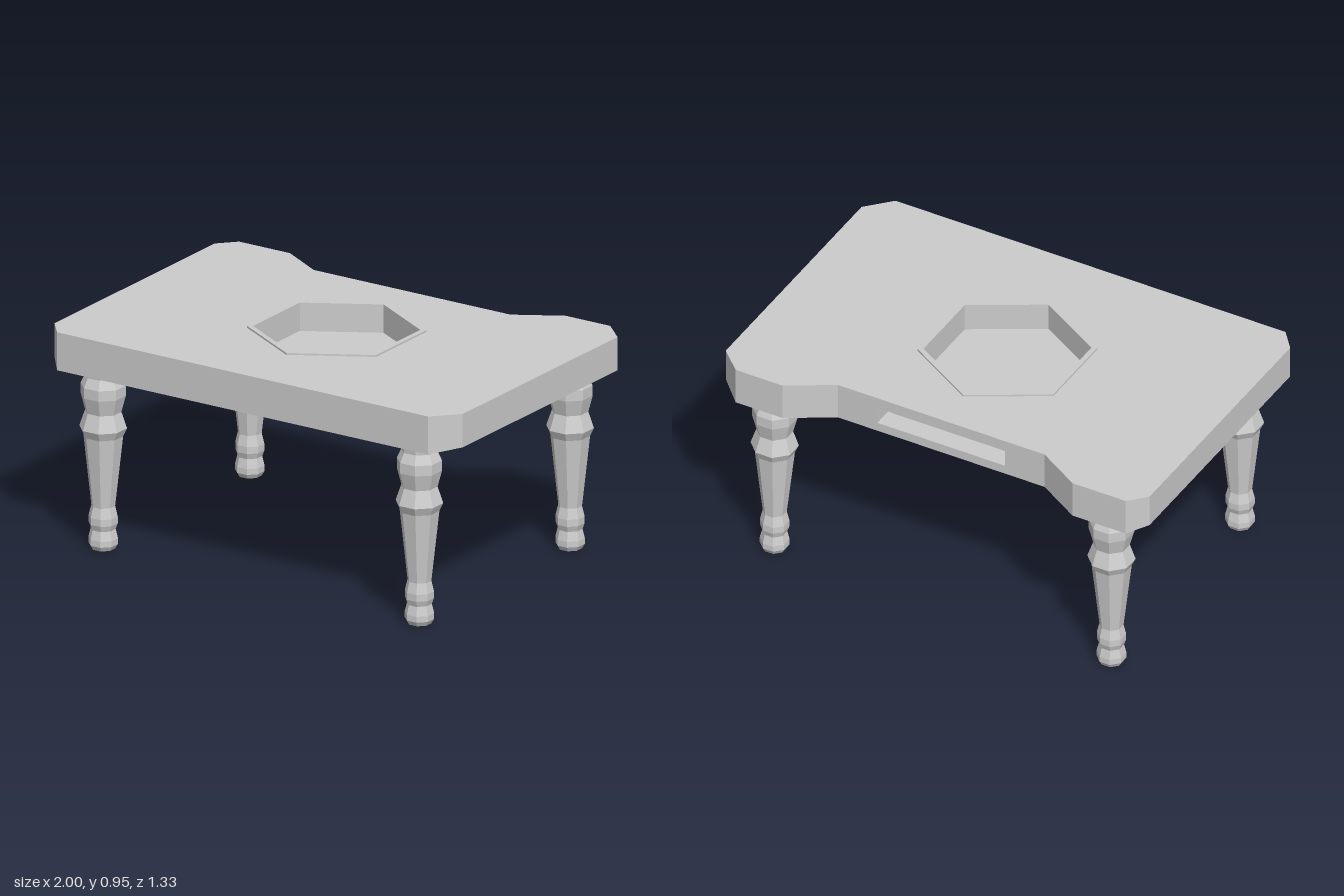
import * as THREE from 'three';

const TOP = 0.945, BOTTOM = 0.78, SIDE_BOTTOM = 0.8, RIM = 0.953, FLOOR = 0.83;

// Flat-shaded mesh from a list of quads, corners counter-clockwise
function quadMesh(name, quads, material) {
  const pos = [];
  for (const [a, b, c, d] of quads) for (const p of [a, b, c, a, c, d]) pos.push(...p);
  const geo = new THREE.BufferGeometry();
  geo.setAttribute('position', new THREE.Float32BufferAttribute(pos, 3));
  geo.computeVertexNormals();
  const mesh = new THREE.Mesh(geo, material);
  mesh.name = name;
  return mesh;
}

const shapeOf = (pts) => new THREE.Shape(pts.map(([x, y]) => new THREE.Vector2(x, y)));

// Hexagon in x, z with points toward the front and back
const hexagon = (r) => Array.from({ length: 6 }, (_, i) => {
  const a = (i * Math.PI) / 3;
  return [r * Math.sin(a), r * Math.cos(a)];
});

export function createModel() {
  const group = new THREE.Group();
  const grey = new THREE.MeshStandardMaterial({ color: 0xcccccc, side: THREE.DoubleSide, flatShading: true });
  grey.name = 'light grey';
  const add = (name, geo) => {
    const mesh = new THREE.Mesh(geo, grey);
    mesh.name = name;
    group.add(mesh);
    return mesh;
  };

  // Table outline in x, z, with a cut-out along the back
  const outline = [
    [-0.93, -0.665], [-0.68, -0.665], [-0.485, -0.55], [0.485, -0.55], [0.68, -0.665], [0.9, -0.665],
    [1, -0.57], [1, 0.56], [0.9, 0.665], [-0.93, 0.665], [-1, 0.58], [-1, -0.59],
  ];
  const isSide = (x) => Math.abs(x) > 0.95;
  const low = ([x, z]) => [x, isSide(x) ? SIDE_BOTTOM : BOTTOM, z];
  const at = ([x, z], y) => [x, y, z];

  // Table top with the hexagonal opening
  const inner = hexagon(0.343), outer = hexagon(0.368);
  const topShape = shapeOf(outline.map(([x, z]) => [x, -z]));
  topShape.holes.push(shapeOf(inner.map(([x, z]) => [x, -z])));
  add('tableTop', new THREE.ShapeGeometry(topShape).rotateX(-Math.PI / 2).translate(0, TOP, 0));

  // Edge walls, leaving out the slotted back panel
  const walls = [];
  outline.forEach((a, i) => {
    const b = outline[(i + 1) % outline.length];
    if (i !== 2) walls.push([at(a, TOP), at(b, TOP), low(b), low(a)]);
  });
  group.add(quadMesh('tableEdge', walls, grey));

  // Underside: flat middle and a raised slope at each end
  const flat = outline.filter(([x]) => !isSide(x));
  add('underside', new THREE.ShapeGeometry(shapeOf(flat)).rotateX(Math.PI / 2).translate(0, BOTTOM, 0));
  group.add(quadMesh('undersideSlopes', [
    [5, 6, 7, 8].map((i) => low(outline[i])),
    [9, 10, 11, 0].map((i) => low(outline[i])),
  ], grey));

  // Back panel with a slot
  const slot = [[-0.3, 0.82], [0.3, 0.82], [0.3, 0.895], [-0.3, 0.895]];
  const panel = shapeOf([[-0.485, BOTTOM], [0.485, BOTTOM], [0.485, TOP], [-0.485, TOP]]);
  panel.holes.push(shapeOf(slot));
  add('backPanel', new THREE.ShapeGeometry(panel).rotateY(Math.PI).translate(0, 0, -0.55));
  const front = slot.map((p) => [...p, -0.55]), deep = slot.map((p) => [...p, -0.4]);
  const slotQuads = slot.map((_, i) => {
    const j = (i + 1) % 4;
    return [deep[i], deep[j], front[j], front[i]];
  });
  slotQuads.push([...deep].reverse());
  group.add(quadMesh('slot', slotQuads, grey));

  // Raised rim and walls of the hexagonal well
  const rim = [], well = [];
  for (let i = 0; i < 6; i++) {
    const j = (i + 1) % 6;
    rim.push([at(outer[j], RIM), at(outer[i], RIM), at(outer[i], TOP), at(outer[j], TOP)]);
    rim.push([at(outer[i], RIM), at(outer[j], RIM), at(inner[j], RIM), at(inner[i], RIM)]);
    well.push([at(inner[i], RIM), at(inner[j], RIM), at(inner[j], FLOOR), at(inner[i], FLOOR)]);
  }
  group.add(quadMesh('wellRim', rim, grey), quadMesh('wellWalls', well, grey));
  add('wellFloor', new THREE.ShapeGeometry(shapeOf(inner.map(([x, z]) => [x, -z])))
    .rotateX(-Math.PI / 2).translate(0, FLOOR, 0));

  // Turned eight-sided legs: half width, height
  const profile = [
    [0, 0], [0.046, 0], [0.057, 0.02], [0.057, 0.045], [0.048, 0.085], [0.056, 0.11], [0.056, 0.14],
    [0.046, 0.185], [0.077, 0.49], [0.092, 0.525], [0.07, 0.595], [0.087, 0.665], [0.087, 0.71],
    [0.07, 0.75], [0.073, 0.785],
  ].map(([r, y]) => new THREE.Vector2(r / Math.cos(Math.PI / 8), y));
  const legGeo = new THREE.LatheGeometry(profile, 8, Math.PI / 8);
  const legs = { frontLeftLeg: [0.79, 0.565], frontRightLeg: [-0.79, 0.535], backLeftLeg: [0.79, -0.535], backRightLeg: [-0.79, -0.535] };
  for (const [name, [x, z]] of Object.entries(legs)) add(name, legGeo).position.set(x, 0, z);

  return group;
}
